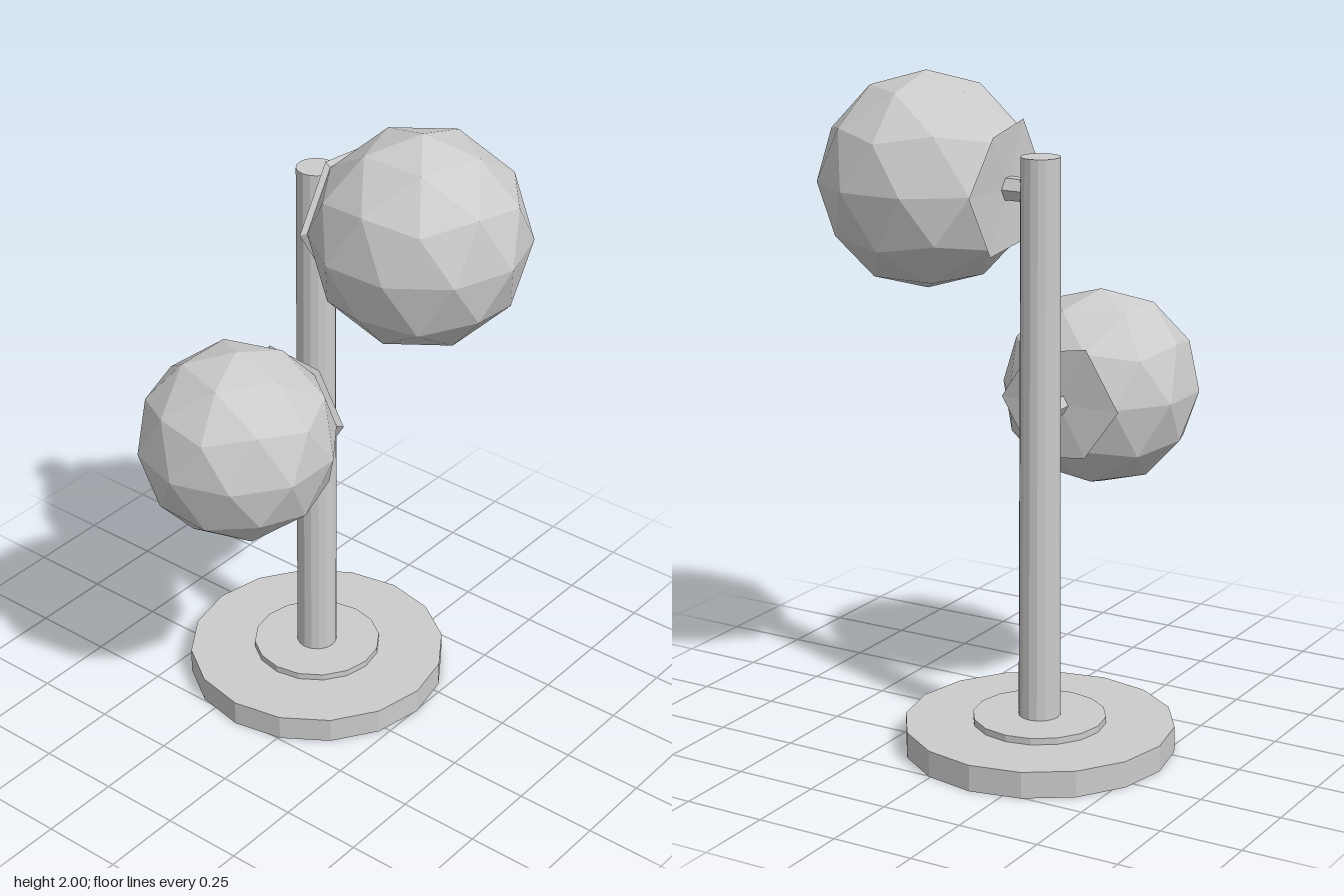
import * as THREE from 'three';

const material = new THREE.MeshStandardMaterial({ color: 0xcccccc, flatShading: true });

function add(parent, name, geometry, x = 0, y = 0, z = 0) {
  const mesh = new THREE.Mesh(geometry, material);
  mesh.name = name;
  mesh.position.set(x, y, z);
  parent.add(mesh);
  return mesh;
}

// Faceted globe with one vertex pointing up and the facets around its -z vertex removed.
// Also returns the six corners of the opening.
function openGlobe(radius) {
  const ico = new THREE.IcosahedronGeometry(radius, 1);
  ico.rotateZ(-Math.atan(2 / (1 + Math.sqrt(5))));
  const pos = ico.getAttribute('position');
  const kept = [], rim = [];
  for (let i = 0; i < pos.count; i += 3) {
    const tri = [0, 1, 2].map(k => new THREE.Vector3().fromBufferAttribute(pos, i + k));
    if (tri.some(v => v.z < -0.99 * radius)) {
      for (const v of tri) {
        if (v.z > -0.99 * radius && !rim.some(r => r.distanceTo(v) < 1e-3)) rim.push(v);
      }
    } else {
      tri.forEach(v => kept.push(v.x, v.y, v.z));
    }
  }
  const globe = new THREE.BufferGeometry();
  globe.setAttribute('position', new THREE.Float32BufferAttribute(kept, 3));
  globe.computeVertexNormals();
  // Order counter-clockwise as seen from behind (-z)
  rim.sort((a, b) => Math.atan2(b.y, b.x) - Math.atan2(a.y, a.x));
  return { globe, rim };
}

// Hexagonal cap: the rim flared outwards a little and closed
function capGeometry(rim) {
  const flare = rim.map(v => new THREE.Vector3(v.x * 1.11, v.y * 1.11, v.z - 0.01));
  const centre = new THREE.Vector3();
  flare.forEach(v => centre.addScaledVector(v, 1 / flare.length));
  const points = [];
  rim.forEach((a, i) => {
    const j = (i + 1) % rim.length;
    const b = rim[j], c = flare[j], d = flare[i];
    points.push(a, b, c, a, c, d, d, c, centre);
  });
  const geometry = new THREE.BufferGeometry().setFromPoints(points);
  geometry.computeVertexNormals();
  return geometry;
}

// Globe, cap and hexagonal arm, with the arm reaching back along -z to the pole
function lamp(name, radius, distance, armRadius) {
  const group = new THREE.Group();
  group.name = name;
  const { globe, rim } = openGlobe(radius);
  add(group, 'globe', globe);
  add(group, 'globeCap', capGeometry(rim)).material =
    Object.assign(material.clone(), { side: THREE.DoubleSide });
  const start = -distance + 0.03, end = -radius * 0.83;
  const arm = new THREE.CylinderGeometry(armRadius, armRadius, end - start, 6);
  arm.rotateY(Math.PI / 2);
  arm.rotateX(Math.PI / 2);
  add(group, 'arm', arm, 0, 0, (start + end) / 2);
  return group;
}

export function createModel() {
  const model = new THREE.Group();
  model.name = 'twinGlobeLamp';
  const px = -0.15, pz = -0.13;

  // Stand
  add(model, 'base', new THREE.CylinderGeometry(0.405, 0.405, 0.08, 16), px, 0.04, pz);
  add(model, 'basePlate', new THREE.CylinderGeometry(0.2, 0.2, 0.02, 16), px, 0.09, pz);
  add(model, 'pole', new THREE.CylinderGeometry(0.058, 0.063, 1.68, 16), px, 0.94, pz);

  // Lower lamp faces forward, upper lamp faces left
  const lower = lamp('lowerLamp', 0.3, 0.365, 0.032);
  lower.position.set(px, 1.03, pz + 0.365);
  const upper = lamp('upperLamp', 0.32, 0.38, 0.037);
  upper.rotation.y = Math.PI / 2;
  upper.position.set(px + 0.38, 1.68, pz);
  model.add(lower, upper);
  return model;
}
